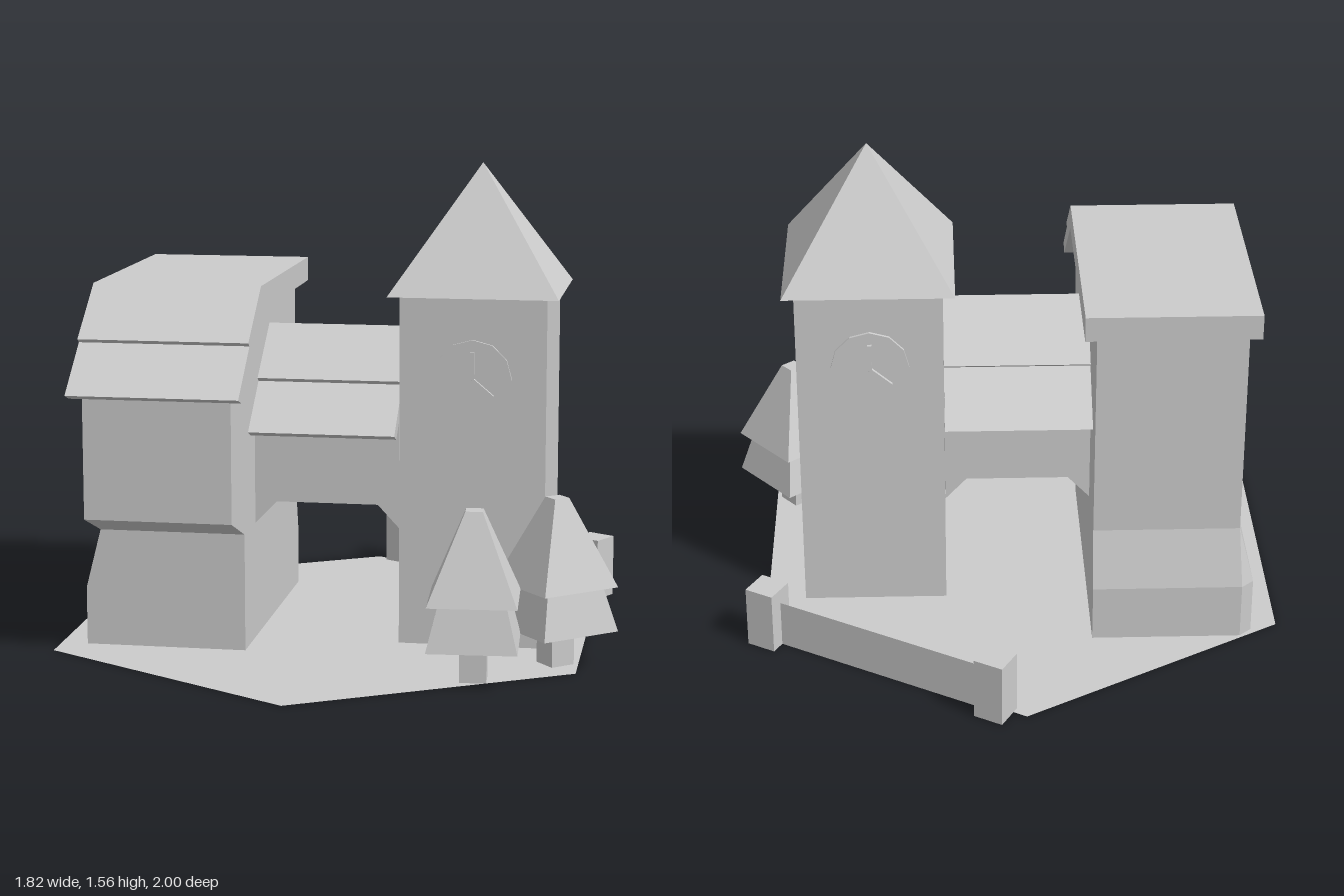
import * as THREE from 'three';

const material = new THREE.MeshStandardMaterial({ color: 0xcccccc, flatShading: true });
const thin = new THREE.MeshStandardMaterial({ color: 0xcccccc, flatShading: true, side: THREE.DoubleSide });

function add(parent, name, geometry, x = 0, y = 0, z = 0, mat = material) {
  const mesh = new THREE.Mesh(geometry, mat);
  mesh.name = name;
  mesh.position.set(x, y, z);
  parent.add(mesh);
  return mesh;
}

// Side profile given as [z, y], extruded from x0 to x1
function sideExtrude(profile, x0, x1) {
  const shape = new THREE.Shape(profile.map(([z, y]) => new THREE.Vector2(-z, y)));
  const g = new THREE.ExtrudeGeometry(shape, { depth: x1 - x0, bevelEnabled: false });
  return g.rotateY(Math.PI / 2).translate(x0, 0, 0);
}

// Joins rings of [x, z] corners (counter-clockwise from above) at rising heights
function loft(rings) {
  const positions = [];
  const point = ([x, z], y) => [x, y, z];
  for (let i = 0; i < rings.length - 1; i++) {
    const low = rings[i], high = rings[i + 1], n = low.pts.length;
    for (let j = 0; j < n; j++) {
      const k = (j + 1) % n;
      const a = point(low.pts[j], low.y), b = point(low.pts[k], low.y);
      const c = point(high.pts[k], high.y), d = point(high.pts[j], high.y);
      positions.push(...a, ...b, ...c, ...a, ...c, ...d);
    }
  }
  const g = new THREE.BufferGeometry();
  g.setAttribute('position', new THREE.Float32BufferAttribute(positions, 3));
  g.computeVertexNormals();
  return g;
}

function buildHouse() {
  const house = new THREE.Group();
  house.name = 'house';
  // Ground floor flaring out on the outer and back sides, with a cut corner
  const foot = [[-0.297, 0.41], [-0.297, -0.53], [-0.785, -0.53], [-0.825, -0.495], [-0.825, 0.41]];
  const neck = [[-0.297, 0.41], [-0.297, -0.48], [-0.775, -0.48], [-0.775, -0.48], [-0.775, 0.41]];
  add(house, 'groundFloor', loft([{ y: 0, pts: foot }, { y: 0.19, pts: foot }, { y: 0.385, pts: neck }]));
  // Upper floor overhanging to the front
  add(house, 'upperFloor', sideExtrude([[0.605, 0.46], [0.605, 0.87], [0.31, 1.1], [-0.48, 1.1],
    [-0.48, 0.385], [0.41, 0.385]], -0.775, -0.297));
  // Flat roof with a stepped front slope
  add(house, 'houseRoof', sideExtrude([[-0.52, 1.18], [0.315, 1.18], [0.52, 1.025], [0.502, 1.013],
    [0.68, 0.87], [0.632, 0.853], [0.31, 1.098], [-0.52, 1.098]], -0.81, -0.257));
  return house;
}

function buildBridge() {
  const bridge = new THREE.Group();
  bridge.name = 'bridge';
  // Wall over the archway
  const arch = new THREE.Shape([[-0.297, 0.385], [-0.225, 0.46], [0.11, 0.46], [0.18, 0.385],
    [0.18, 0.74], [-0.297, 0.74]].map(([x, y]) => new THREE.Vector2(x, y)));
  add(bridge, 'archWall', new THREE.ExtrudeGeometry(arch, { depth: 0.5, bevelEnabled: false }), 0, 0, -0.265);
  add(bridge, 'gable', sideExtrude([[0.235, 0.74], [-0.02, 0.94], [-0.265, 0.74]], -0.297, 0.18));
  // Stepped gable roof, mirrored about its ridge
  const slope = [[0.205, 0.86], [0.189, 0.848], [0.365, 0.708], [0.32, 0.69]];
  const profile = [[0, 1.015], ...slope, [0, 0.935], ...slope.map(([z, y]) => [-z, y]).reverse()];
  add(bridge, 'bridgeRoof', sideExtrude(profile.map(([z, y]) => [z - 0.02, y]), -0.297, 0.18));
  return bridge;
}

function buildClock() {
  const clock = new THREE.Group();
  clock.name = 'clock';
  add(clock, 'clockFace', new THREE.CylinderGeometry(0.127, 0.127, 0.01, 12).rotateX(Math.PI / 2), 0, 0, 0.005);
  // Each hand starts at the centre and is turned clockwise
  for (const [name, length, turn] of [['hourHand', 0.088, 0], ['minuteHand', 0.088, -2.27]]) {
    const hand = new THREE.BoxGeometry(0.013, length, 0.012).translate(0, length / 2, 0);
    add(clock, name, hand, 0, 0, 0.02).rotation.z = turn;
  }
  return clock;
}

function buildTower() {
  const tower = new THREE.Group();
  tower.name = 'clockTower';
  tower.position.set(0.418, 0, -0.015);
  add(tower, 'towerWalls', new THREE.BoxGeometry(0.475, 1.146, 0.5), 0, 0.573, 0);
  const roof = new THREE.ConeGeometry(Math.SQRT1_2, 0.414, 4).rotateY(Math.PI / 4).scale(0.552, 1, 0.57);
  add(tower, 'towerRoof', roof, 0, 1.353, -0.004);
  for (const side of [1, -1]) {
    const clock = buildClock();
    clock.position.set(0, 0.884, side * 0.25);
    clock.rotation.y = side > 0 ? 0 : Math.PI;
    tower.add(clock);
  }
  return tower;
}

function buildTree(x, z, turn) {
  const tree = new THREE.Group();
  tree.name = 'tree';
  tree.position.set(x, 0, z);
  tree.rotation.y = turn;
  const tiers = [['trunk', 0.06, 0.06, 0, 0.13], ['lowerFoliage', 0.2, 0.15, 0.117, 0.26],
    ['upperFoliage', 0.198, 0.038, 0.26, 0.54]];
  for (const [name, bottom, top, y0, y1] of tiers) {
    add(tree, name, new THREE.CylinderGeometry(top, bottom, y1 - y0, 4), 0, (y0 + y1) / 2, 0);
  }
  return tree;
}

function buildFence() {
  const fence = new THREE.Group();
  fence.name = 'fence';
  fence.position.set(0.4, 0, -0.72);
  fence.rotation.y = -Math.PI / 6;
  for (const side of [-1, 1]) {
    add(fence, 'fencePost', new THREE.BoxGeometry(0.1, 0.21, 0.1), side * 0.423, 0.105, 0);
  }
  add(fence, 'fencePanel', new THREE.PlaneGeometry(0.75, 0.16), 0, 0.08, 0, thin);
  return fence;
}

export function createModel() {
  const model = new THREE.Group();
  model.name = 'clockTowerGatehouse';
  // Flat six-sided ground
  const ground = new THREE.CircleGeometry(0.978, 6, Math.PI / 2).rotateX(-Math.PI / 2);
  add(model, 'ground', ground, -0.065, 0, 0.02, thin);
  model.add(buildHouse(), buildBridge(), buildTower(), buildFence());
  model.add(buildTree(0.472, 0.625, 0.85), buildTree(0.708, 0.395, -0.09));
  return model;
}
